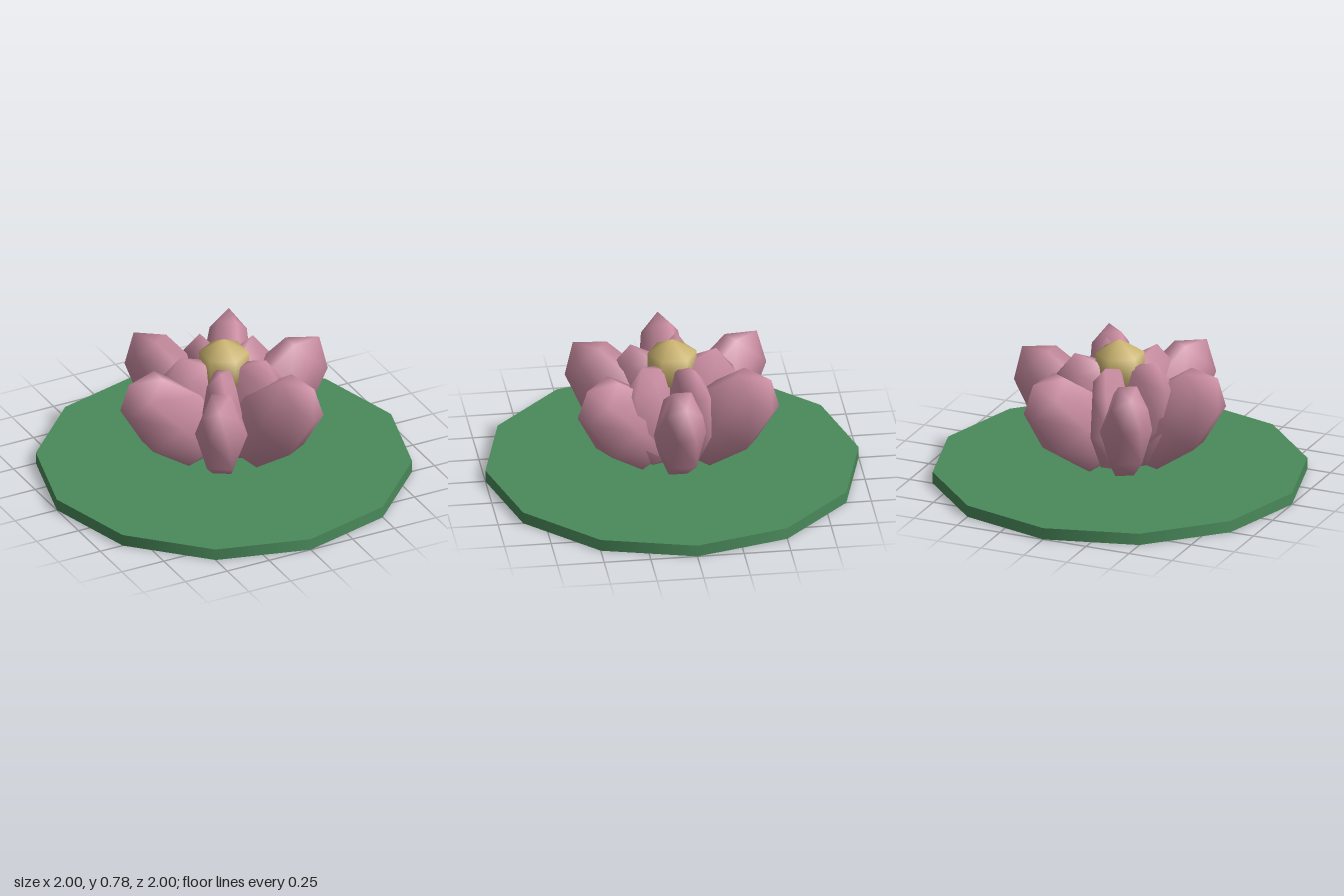
import * as THREE from 'three';

const padGreen = new THREE.MeshStandardMaterial({ color: 0x4a8a5b });
padGreen.name = 'pad green';
const petalPink = new THREE.MeshStandardMaterial({ color: 0xca8da2 });
petalPink.name = 'petal pink';
const heartYellow = new THREE.MeshStandardMaterial({ color: 0xcfb873 });
heartYellow.name = 'heart yellow';

// Ring of low-poly ellipsoid petals leaning outwards.
// size = half width, half length, half depth; startDeg runs from +x towards +z.
function petalRing(name, count, startDeg, radius, y, tilt, size) {
  const ring = new THREE.Group();
  ring.name = name + 's';
  const geometry = new THREE.SphereGeometry(1, 6, 4);
  for (let i = 0; i < count; i++) {
    const pivot = new THREE.Group();
    pivot.rotation.y = THREE.MathUtils.degToRad(90 - startDeg - (i * 360) / count);
    const petal = new THREE.Mesh(geometry, petalPink);
    petal.name = name;
    petal.position.set(0, y, radius);
    petal.rotation.x = tilt;
    petal.scale.set(...size);
    pivot.add(petal);
    ring.add(pivot);
  }
  return ring;
}

export function createModel() {
  const model = new THREE.Group();
  model.name = 'waterLily';

  // Floating leaf
  const pad = new THREE.Mesh(new THREE.CylinderGeometry(1, 1, 0.064, 12), padGreen);
  pad.name = 'lilyPad';
  pad.position.y = 0.032;
  model.add(pad);

  // Two rings of petals
  model.add(petalRing('outerPetal', 6, 0, 0.315, 0.38, 0.755, [0.14, 0.371, 0.225]));
  model.add(petalRing('innerPetal', 5, -23, 0.142, 0.383, 0.3, [0.11, 0.333, 0.215]));

  // Flower heart
  const heart = new THREE.Mesh(new THREE.SphereGeometry(0.152, 6, 3), heartYellow);
  heart.name = 'flowerHeart';
  heart.position.y = 0.63;
  heart.rotation.y = Math.PI / 6;
  model.add(heart);

  return model;
}
